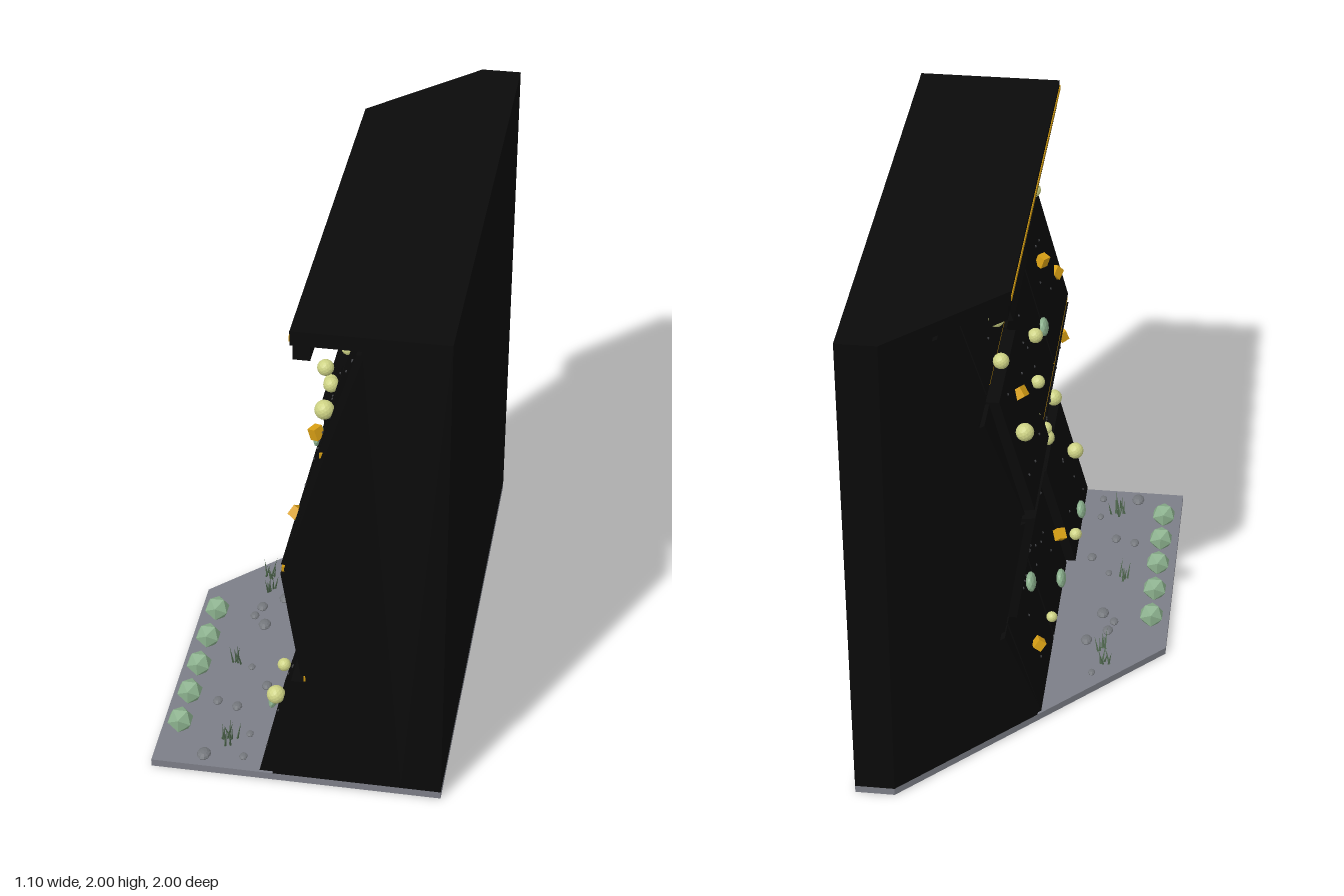
import * as THREE from 'three';

const mat = (name, color) => {
  const m = new THREE.MeshStandardMaterial({ color });
  m.name = name;
  return m;
};

export function createModel() {
  const M = {
    black: mat('matteBlack', 0x0a0a0a),
    grey: mat('floorGrey', 0x7c7e87),
    stone: mat('stoneGrey', 0x74777c),
    light: mat('lightStripGold', 0xc8930f),
    lime: mat('paleLime', 0xcdd284),
    amber: mat('amber', 0xd9a015),
    sage: mat('sageGreen', 0x8bb08d),
    grass: mat('grassGreen', 0x50684f),
    bolt: mat('boltGrey', 0x3c3d40),
  };
  for (const m of Object.values(M)) m.flatShading = true;
  const root = new THREE.Group();
  const group = (name) => {
    const g = new THREE.Group();
    g.name = name;
    root.add(g);
    return g;
  };
  const add = (name, geo, m, parent = root, pos = [0, 0, 0]) => {
    const mesh = new THREE.Mesh(geo, m);
    mesh.name = name;
    mesh.position.set(...pos);
    parent.add(mesh);
    return mesh;
  };
  let seed = 7;
  const rnd = () => (seed = (seed * 16807) % 2147483647) / 2147483647;

  // Profile extruded along z, its rear cut off by the diagonal plane x + z = -0.6
  const slab = (pts, z0 = -1, z1 = 1) => {
    const shape = new THREE.Shape(pts.map((p) => new THREE.Vector2(...p)));
    const geo = new THREE.ExtrudeGeometry(shape, { depth: z1 - z0, bevelEnabled: false });
    geo.translate(0, 0, z0);
    const p = geo.attributes.position;
    for (let i = 0; i < p.count; i++) p.setZ(i, Math.max(p.getZ(i), -0.6 - p.getX(i)));
    geo.computeVertexNormals();
    return geo;
  };
  const rect = (x0, x1, y0, y1) => [[x0, y0], [x1, y0], [x1, y1], [x0, y1]];

  // Floor plate
  add('floorPlate', slab(rect(-0.55, 0.4, 0, 0.03)), M.grey);
  add('floorPlateBack', new THREE.BoxGeometry(0.15, 0.03, 2), M.grey, root, [0.475, 0.015, 0]);

  // Wall core with a folded climbing face
  const face = [[-0.085, 0.03], [0.045, 0.5], [-0.03, 1], [0.105, 1.5], [0.245, 1.94]];
  const faceX = (y) => {
    let i = 0;
    while (i < 3 && y > face[i + 1][1]) i++;
    const [[xa, ya], [xb, yb]] = [face[i], face[i + 1]];
    return xa + ((xb - xa) * (y - ya)) / (yb - ya);
  };
  add('wallCore', slab([[0.4, 0.03], [0.4, 2], [0.245, 2], ...[...face].reverse()]), M.black);
  add('wallBack', new THREE.BoxGeometry(0.15, 1.97, 2), M.black, root, [0.475, 1.015, 0]);

  // Overhanging roof with lip and light strip
  add('roof', slab(rect(0, 0.25, 1.945, 2)), M.black);
  add('roofLip', slab(rect(0.01, 0.07, 1.89, 1.945)), M.black);
  add('roofLight', slab(rect(-0.003, 0.001, 1.96, 1.98)), M.light);

  // Climbing panels: rows by height, columns along z, each with its own depth
  const rows = [[0.04, 0.49], [0.52, 0.98], [1.02, 1.49], [1.52, 1.93]];
  const cols = [[0.47, 1], [-0.03, 0.455], [-0.535, -0.045], [-1, -0.55]];
  const depth = [
    [0.052, 0.016, 0.016, 0.016],
    [0.016, 0.016, 0.05, 0.016],
    [0.016, 0.016, 0.05, 0.016],
    [0.016, 0.05, 0.016, 0.016],
  ];
  const panels = group('climbingPanels');
  const bolts = group('bolts');
  const boltGeo = new THREE.IcosahedronGeometry(0.006, 0);
  rows.forEach(([y0, y1], r) => cols.forEach(([z0, z1], c) => {
    const a = faceX(y0), b = faceX(y1), d = depth[r][c];
    if (z1 < -0.6 - Math.max(a, b)) return;
    const pts = [[a - d, y0], [a + 0.01, y0], [b + 0.01, y1], [b - d, y1]];
    add('panel', slab(pts, z0, z1), M.black, panels);
    if (c > 2) return;
    for (let i = 0; i < 5; i++) {
      const y = y0 + 0.05 + rnd() * (y1 - y0 - 0.1);
      const z = z0 + 0.05 + rnd() * (z1 - z0 - 0.1);
      if (z > -0.5 - faceX(y)) add('bolt', boltGeo, M.bolt, bolts, [faceX(y) - d, y, z]);
    }
  }));

  // Light strips in the seams between the rows
  const lights = group('seamLights');
  [0.505, 1, 1.505].forEach((y) => {
    const x = faceX(y);
    add('seamLight', slab(rect(x - 0.008, x + 0.008, y - 0.01, y + 0.01), -0.43, 1), M.light, lights);
  });

  // Round holds: x, y, z, radius
  const holds = group('holds');
  [[0.1, 1.63, 0.9, 0.035], [0.07, 1.67, 0.7, 0.03], [0.11, 1.6, 0.46, 0.024], [0.1, 1.61, -0.05, 0.027],
    [0.1, 1.65, -0.23, 0.03], [0.05, 1.64, -0.49, 0.03], [-0.035, 1.34, -0.49, 0.034],
    [0.01, 1.29, 0.24, 0.03], [-0.02, 1.19, 0.07, 0.027], [-0.02, 1.13, -0.07, 0.025],
    [-0.025, 0.82, 0.3, 0.026], [-0.015, 0.7, 0.7, 0.034], [-0.01, 0.65, 0.48, 0.033],
    [-0.09, 0.315, 0.88, 0.035], [-0.13, 0.15, 0.51, 0.026], [-0.1, 0.22, -0.14, 0.022],
  ].forEach(([x, y, z, r]) =>
    add('roundHold', new THREE.IcosahedronGeometry(r, 2), M.lime, holds, [x, y, z]));

  // Angular holds
  [[0.135, 1.78, 0.07], [0.03, 1.37, 0.67], [0, 1.18, 0.9], [0.005, 1.37, -0.28],
    [-0.03, 0.9, 0.87], [-0.085, 0.3, 0.3], [-0.07, 0.235, -0.33],
  ].forEach((p, i) => {
    const h = add('angularHold', new THREE.BoxGeometry(0.035, 0.04, 0.045), M.amber, holds, p);
    h.rotation.set(0.5 + i, 0.3, 0.6);
  });

  // Flat oval holds
  [[0, 1.2, 0.45], [-0.135, 0.14, 0.7], [-0.11, 0.215, 0.12], [-0.055, 0.645, -0.47]].forEach((p) => {
    const h = add('ovalHold', new THREE.IcosahedronGeometry(0.045, 1), M.sage, holds, p);
    h.scale.set(0.42, 0.8, 1);
    h.rotation.z = -0.2;
  });

  // Row of bushes along the floor edge
  const garden = group('garden');
  [0.11, 0.285, 0.46, 0.63, 0.8].forEach((z) =>
    add('bush', new THREE.IcosahedronGeometry(0.052, 0), M.sage, garden, [-0.48, 0.068, z]));

  // Flat pebbles
  [[-0.23, -0.04, 0.026], [-0.31, 0.03, 0.024], [-0.33, 0.09, 0.02], [-0.28, 0.14, 0.028],
    [-0.28, 0.41, 0.016], [-0.2, 0.51, 0.022], [-0.37, 0.63, 0.021], [-0.29, 0.65, 0.022],
    [-0.21, 0.8, 0.016], [-0.21, 0.93, 0.018], [-0.36, 0.94, 0.03], [-0.27, -0.24, 0.016],
  ].forEach(([x, z, r]) => {
    const s = add('pebble', new THREE.SphereGeometry(r, 10, 6), M.stone, garden, [x, 0.035, z]);
    s.scale.set(0.9, 0.5, 1.15);
  });

  // Grass tufts of thin leaning blades
  const blade = new THREE.ConeGeometry(0.005, 0.08, 3);
  blade.translate(0, 0.04, 0);
  [[-0.32, -0.18], [-0.3, -0.09], [-0.34, 0.38], [-0.27, 0.83], [-0.29, 0.86]].forEach(([x, z]) => {
    for (let i = 0; i < 6; i++) {
      const b = add('grassBlade', blade, M.grass, garden,
        [x + (rnd() - 0.5) * 0.04, 0.03, z + (rnd() - 0.5) * 0.04]);
      b.rotation.set((rnd() - 0.5) * 0.5, 0, (rnd() - 0.5) * 0.6);
      b.scale.y = 0.7 + rnd() * 0.4;
    }
  });
  return root;
}
